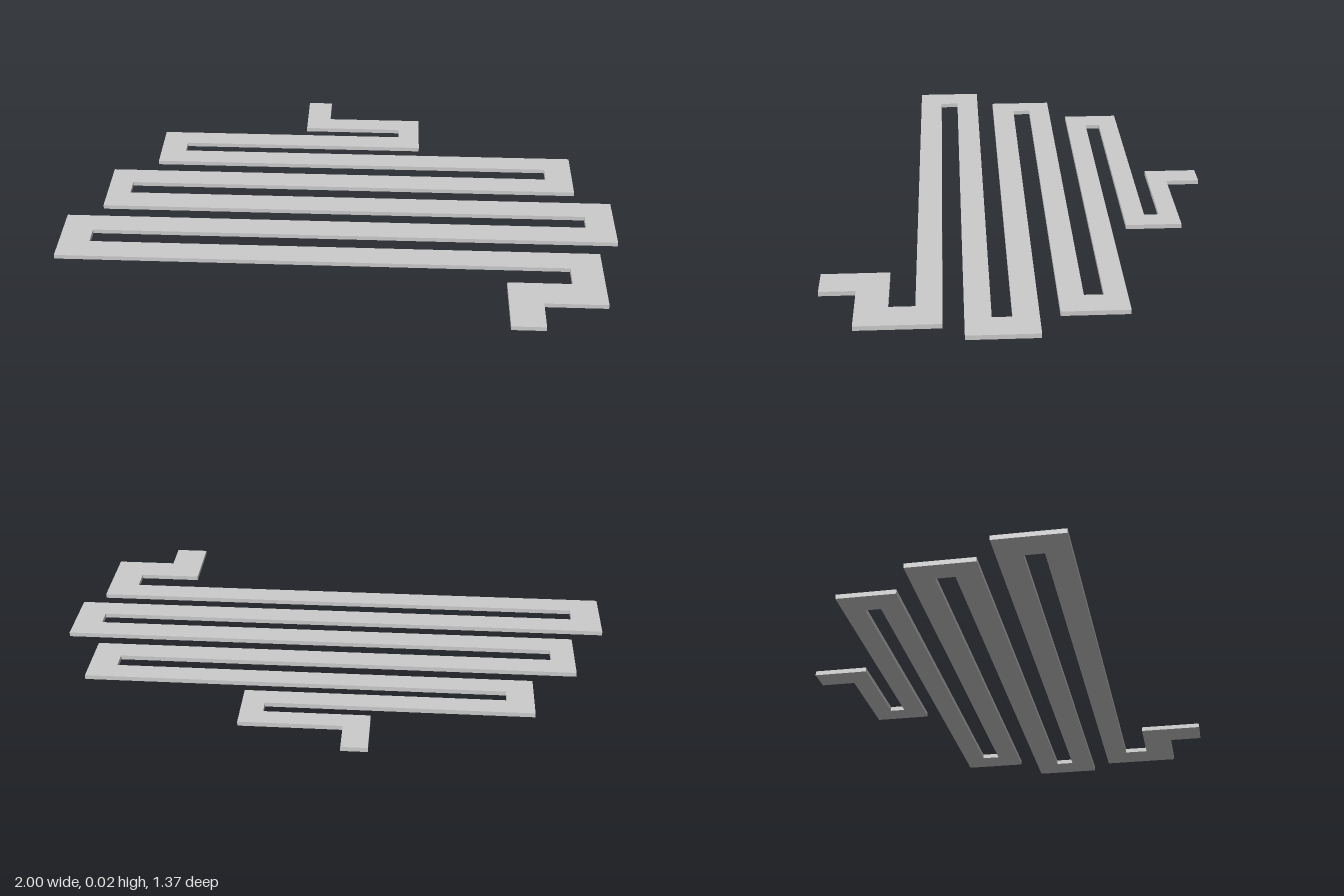
import * as THREE from 'three';

const THICKNESS = 0.016;

// Outline of the serpentine strip as [x, z]: down the left-hand (+x) edge, back up the other
const leftEdge = [
  [-0.158, -0.687], [-0.067, -0.687], [-0.067, -0.565], [0.291, -0.565],
  [0.291, -0.367], [-0.623, -0.367], [-0.623, -0.312], [0.873, -0.312],
  [0.873, -0.087], [-0.794, -0.087], [-0.794, -0.02], [1, -0.02],
  [1, 0.217], [-0.89, 0.217], [-0.89, 0.285], [0.928, 0.285],
  [0.928, 0.565], [0.709, 0.565], [0.709, 0.687],
];
const rightEdge = [
  [0.591, 0.687], [0.591, 0.457], [0.815, 0.457], [0.815, 0.371],
  [-1, 0.371], [-1, 0.131], [0.895, 0.131], [0.895, 0.066],
  [-0.88, 0.066], [-0.88, -0.17], [0.772, -0.17], [0.772, -0.235],
  [-0.719, -0.235], [-0.719, -0.442], [0.211, -0.442], [0.211, -0.495],
  [-0.158, -0.495],
];

export function createModel() {
  const group = new THREE.Group();
  group.name = 'windingPath';

  // Flat winding strip, extruded upwards from the ground
  const shape = new THREE.Shape(
    [...leftEdge, ...rightEdge].map(([x, z]) => new THREE.Vector2(x, -z))
  );
  const geometry = new THREE.ExtrudeGeometry(shape, { depth: THICKNESS, bevelEnabled: false });
  geometry.rotateX(-Math.PI / 2);

  const strip = new THREE.Mesh(geometry, new THREE.MeshStandardMaterial({ color: 0xcccccc, flatShading: true }));
  strip.name = 'pathStrip';
  group.add(strip);
  return group;
}
